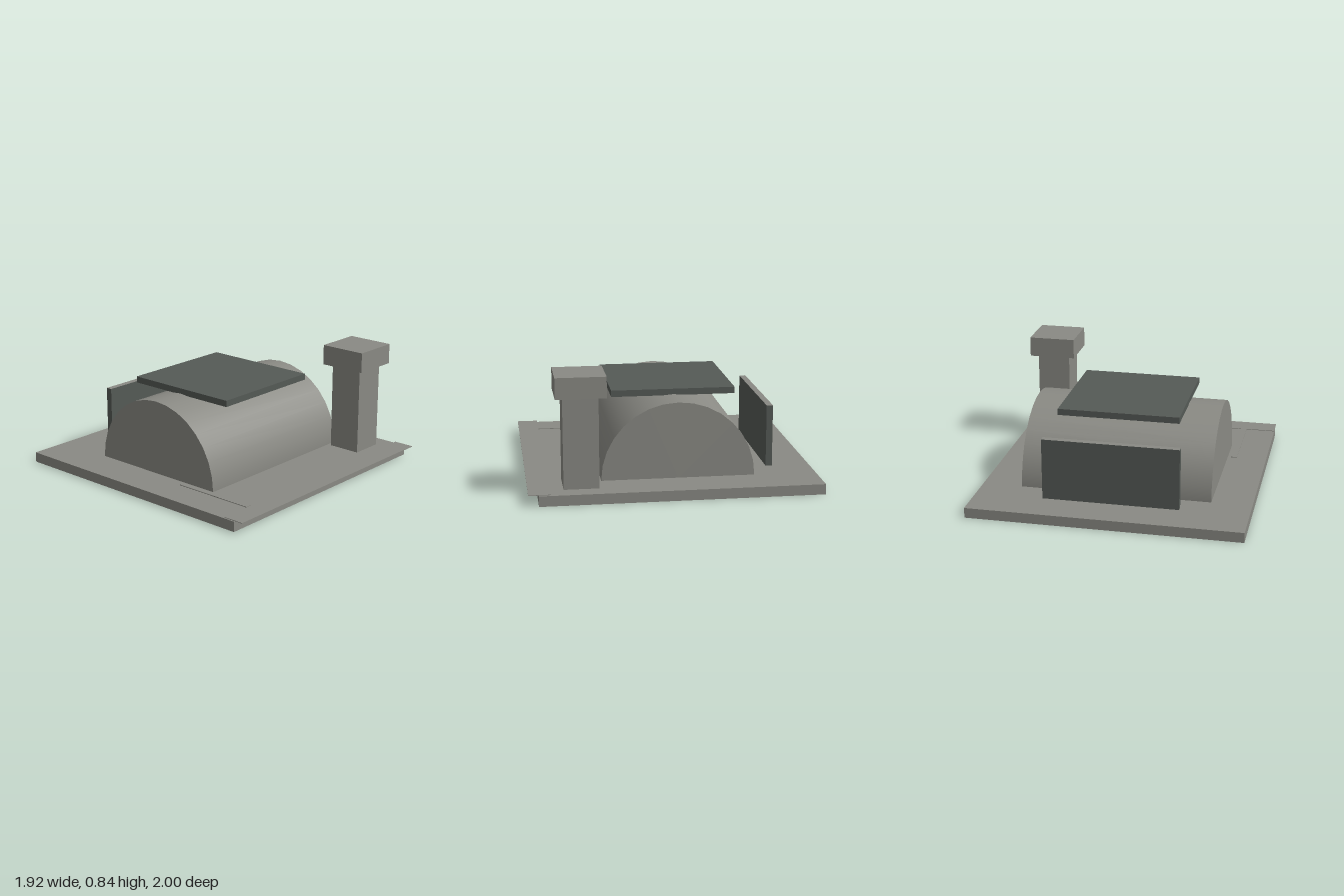
import * as THREE from 'three';

export function createModel() {
  const model = new THREE.Group();
  model.name = 'bunker';

  const concrete = new THREE.MeshStandardMaterial({ color: 0x8a8a84 });
  concrete.name = 'concrete grey';
  const steel = new THREE.MeshStandardMaterial({ color: 0x555a56 });
  steel.name = 'dark steel';

  function add(name, geometry, material) {
    const mesh = new THREE.Mesh(geometry, material);
    mesh.name = name;
    model.add(mesh);
    return mesh;
  }

  // Box given by its limits on each axis
  function box(name, material, [x0, x1], [y0, y1], [z0, z1]) {
    const g = new THREE.BoxGeometry(x1 - x0, y1 - y0, z1 - z0);
    g.translate((x0 + x1) / 2, (y0 + y1) / 2, (z0 + z1) / 2);
    return add(name, g, material);
  }

  const floor = 0.072;

  // Ground slab with thin paving along the front edge
  box('baseSlab', concrete, [-0.96, 0.96], [0, floor], [-1, 0.93]);
  box('frontRoad', concrete, [-0.96, 0.96], [0.078, 0.082], [0.85, 1]);
  box('sidePath', concrete, [-0.745, -0.7], [0.08, 0.085], [0.25, 0.85]);

  // Barrel-vaulted hall: half cylinder lying along x
  const vault = new THREE.CylinderGeometry(0.53, 0.53, 1.35, 16, 1, false, 0, Math.PI);
  vault.rotateZ(Math.PI / 2);
  vault.translate(0, floor, -0.037);
  add('vaultedHall', vault, concrete);

  // Flat roof plate resting on the crown
  box('roofPlate', steel, [-0.43, 0.43], [0.595, 0.64], [-0.47, 0.395]);

  // Upright rear panel with a concrete top edge
  const panelFaces = [steel, steel, concrete, steel, steel, steel];
  box('rearPanel', panelFaces, [-0.48, 0.48], [floor, 0.51], [-0.735, -0.69]);

  // Watchtower
  box('towerShaft', concrete, [0.6, 0.84], [floor, 0.7], [0.52, 0.76]);
  box('towerCap', concrete, [0.55, 0.89], [0.7, 0.845], [0.47, 0.81]);

  return model;
}
